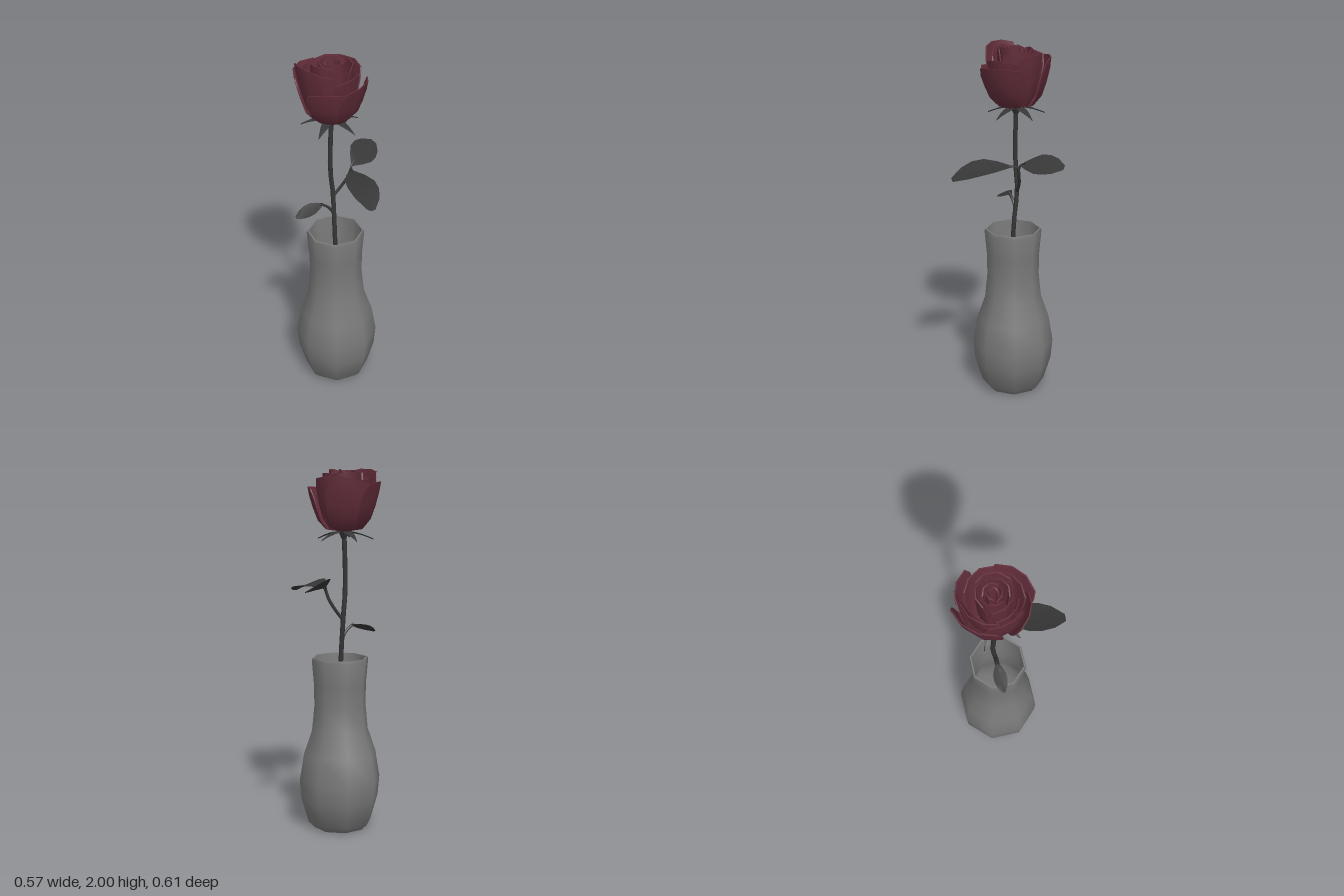
import * as THREE from 'three';
import { toCreasedNormals } from 'three/addons/utils/BufferGeometryUtils.js';

const V = (x, y, z) => new THREE.Vector3(x, y, z);
const rad = THREE.MathUtils.degToRad;
const material = (color) => new THREE.MeshStandardMaterial({ color, side: THREE.DoubleSide });

// Closed skin over a list of equal-length cross-section loops
function loft(rows, crease = 0.6) {
  const n = rows[0].length, last = (rows.length - 1) * n, index = [];
  for (let i = 0; i < rows.length - 1; i++) {
    for (let j = 0; j < n; j++) {
      const a = i * n + j, b = i * n + (j + 1) % n;
      index.push(a, b, a + n, b, b + n, a + n);
    }
  }
  for (let j = 0; j < n / 2 - 1; j++) {
    const [a, b, c, d] = [j, j + 1, n - 2 - j, n - 1 - j];
    index.push(a, c, b, a, d, c);
    index.push(last + a, last + b, last + c, last + a, last + c, last + d);
  }
  const geo = new THREE.BufferGeometry();
  geo.setAttribute('position', new THREE.Float32BufferAttribute(rows.flat().flatMap((p) => p.toArray()), 3));
  geo.setIndex(index);
  return toCreasedNormals(geo, crease);
}

// Thin blade from base to tip, bowed along its length and creased along its rib
const LEAF_WIDTHS = [0.08, 0.6, 0.97, 1, 0.78, 0.25];
const SEPAL_WIDTHS = [0.5, 1, 0.95, 0.7, 0.4, 0.06];
function blade(base, tip, side, width, arch, widths = LEAF_WIDTHS) {
  const axis = tip.clone().sub(base).normalize();
  const s = side.clone().addScaledVector(axis, -side.dot(axis)).normalize();
  const n = axis.clone().cross(s);
  return loft(widths.map((w, i) => {
    const t = i / (widths.length - 1);
    const mid = base.clone().lerp(tip, t);
    mid.y += arch * Math.sin(Math.PI * t);
    const rib = mid.clone().add(V(0, -0.08 * w * width, 0));
    const half = w * width / 2;
    return [
      mid.clone().addScaledVector(s, -half), rib.clone().addScaledVector(n, -0.003),
      mid.clone().addScaledVector(s, half), rib.clone().addScaledVector(n, 0.003),
    ];
  }));
}

// Cupped petal: radius, height and angular spread by row, given wall thickness
const CUP = [[0.12, 0, 0.6], [0.56, 0.05, 0.85], [0.8, 0.25, 1], [0.92, 0.52, 1], [0.99, 0.8, 0.97], [1, 1, 0.8]];
const FLOWER = V(-0.055, 1.665, -0.095);
function petal(angle, spread, radius, top, flare = 0) {
  const cols = 4, thick = 0.007;
  return loft(CUP.map(([r, h, w]) => {
    const point = (u, inset) => {
      const a = rad(angle + u * spread * w);
      const R = Math.max(radius * r + flare * h * h - inset + 0.05 * radius * u * h, 0.003);
      const y = (top - FLOWER.y) * (h - 0.05 * h * u * u) + (h < 0.1 ? inset : 0);
      return V(R * Math.cos(a), y, R * Math.sin(a)).add(FLOWER);
    };
    const us = Array.from({ length: cols }, (_, i) => 1 - 2 * i / (cols - 1));
    return [...us.map((u) => point(u, 0)), ...us.reverse().map((u) => point(u, thick))];
  }), 0.8);
}

function tube(points, radius) {
  return new THREE.TubeGeometry(new THREE.CatmullRomCurve3(points), points.length * 3, radius, 6);
}

export function createModel() {
  const model = new THREE.Group();
  const grey = material(0x7a7a7a), dark = material(0x363636), red = material(0x622d3a);
  const add = (name, geo, mat, parent = model) => {
    const mesh = new THREE.Mesh(geo, mat);
    mesh.name = name;
    parent.add(mesh);
    return mesh;
  };
  const group = (name) => {
    const g = new THREE.Group();
    g.name = name;
    model.add(g);
    return g;
  };

  // Eight-sided vase, outer wall then inner wall
  const profile = [
    [0, 0], [0.145, 0], [0.18, 0.035], [0.22, 0.17], [0.23, 0.28], [0.205, 0.43], [0.16, 0.56],
    [0.146, 0.7], [0.148, 0.82], [0.16, 0.955], [0.157, 0.97], [0.148, 0.97], [0.138, 0.82],
    [0.136, 0.7], [0.15, 0.56], [0.195, 0.42], [0.218, 0.28], [0.208, 0.17], [0.16, 0.03], [0, 0.03],
  ].map(([r, y]) => new THREE.Vector2(r, y));
  const vase = add('vase', toCreasedNormals(new THREE.LatheGeometry(profile, 8), 0.85), grey);
  vase.position.set(-0.055, 0, -0.075);

  // Stem and leaf stalks
  const stems = group('stems');
  add('stem', tube([V(-0.06, 0.04, -0.05), V(-0.06, 0.6, -0.065), V(-0.055, 1, -0.082), V(-0.047, 1.2, -0.1),
    V(-0.063, 1.36, -0.102), V(-0.055, 1.67, -0.098)], 0.013), dark, stems);
  add('upperStalk', tube([V(-0.047, 1.18, -0.098), V(-0.005, 1.245, -0.07), V(0.016, 1.3, -0.045),
    V(0.025, 1.35, -0.03)], 0.009), dark, stems);
  add('leftLeafStalk', tube([V(0.023, 1.335, -0.034), V(0.033, 1.36, -0.038), V(0.06, 1.378, -0.043)], 0.006), dark, stems);
  add('frontLeafStalk', tube([V(0.024, 1.34, -0.034), V(0.012, 1.355, -0.015), V(-0.005, 1.36, 0.02)], 0.006), dark, stems);
  add('lowerStalk', tube([V(-0.053, 1.08, -0.09), V(-0.085, 1.125, -0.105), V(-0.125, 1.153, -0.12)], 0.008), dark, stems);

  // Leaves
  const leaves = group('leaves');
  add('leftLeaf', blade(V(0.035, 1.365, -0.035), V(0.283, 1.385, -0.105), V(-0.03, -0.07, 0.12), 0.148, 0.012), dark, leaves);
  add('frontLeaf', blade(V(0.005, 1.358, -0.005), V(-0.16, 1.315, 0.292), V(0.16, -0.03, 0.06), 0.175, 0.035), dark, leaves);
  add('lowerLeaf', blade(V(-0.105, 1.15, -0.115), V(-0.255, 1.1, -0.175), V(-0.3, -0.35, 0.9), 0.08, 0.006), dark, leaves);

  // Flower base and drooping sepals
  const calyx = group('calyx');
  add('flowerBase', new THREE.CylinderGeometry(0.035, 0.013, 0.05, 8), dark, calyx).position.set(-0.055, 1.65, -0.097);
  for (let i = 0; i < 5; i++) {
    const a = rad(15 + i * 72), out = V(Math.cos(a), 0, Math.sin(a));
    const base = V(-0.055, 1.668, -0.097).addScaledVector(out, 0.015);
    const tip = V(-0.055, 1.622, -0.097).addScaledVector(out, 0.163);
    add('sepal', blade(base, tip, V(-out.z, 0, out.x), 0.05, 0.008, SEPAL_WIDTHS), dark, calyx);
  }

  // Petals: angle, half spread, radius, top height, flare
  const flower = group('flower');
  const outer = [
    [-111, 50, 0.185, 1.935, 0.02], [-44, 44, 0.18, 1.945, 0.01], [191, 41, 0.17, 2, 0.01],
    [140, 40, 0.17, 1.885, 0.02], [75, 46, 0.175, 1.905, 0.025],
  ];
  const middle = [
    [-112, 56, 0.148, 1.955, 0.01], [-5, 54, 0.14, 1.965, 0.01], [170, 50, 0.13, 1.96, 0.005], [85, 50, 0.135, 1.935, 0.015],
  ];
  outer.forEach((p) => add('outerPetal', petal(...p), red, flower));
  middle.forEach((p) => add('middlePetal', petal(...p), red, flower));
  // Inner petals wind into the heart
  for (let i = 0; i < 9; i++) {
    const radius = 0.114 - 0.011 * i;
    add('innerPetal', petal(30 + i * 137.5, 62 + i * 3, radius, 1.98 + 0.02 * ((i * 3) % 5) / 4), red, flower);
  }
  return model;
}
